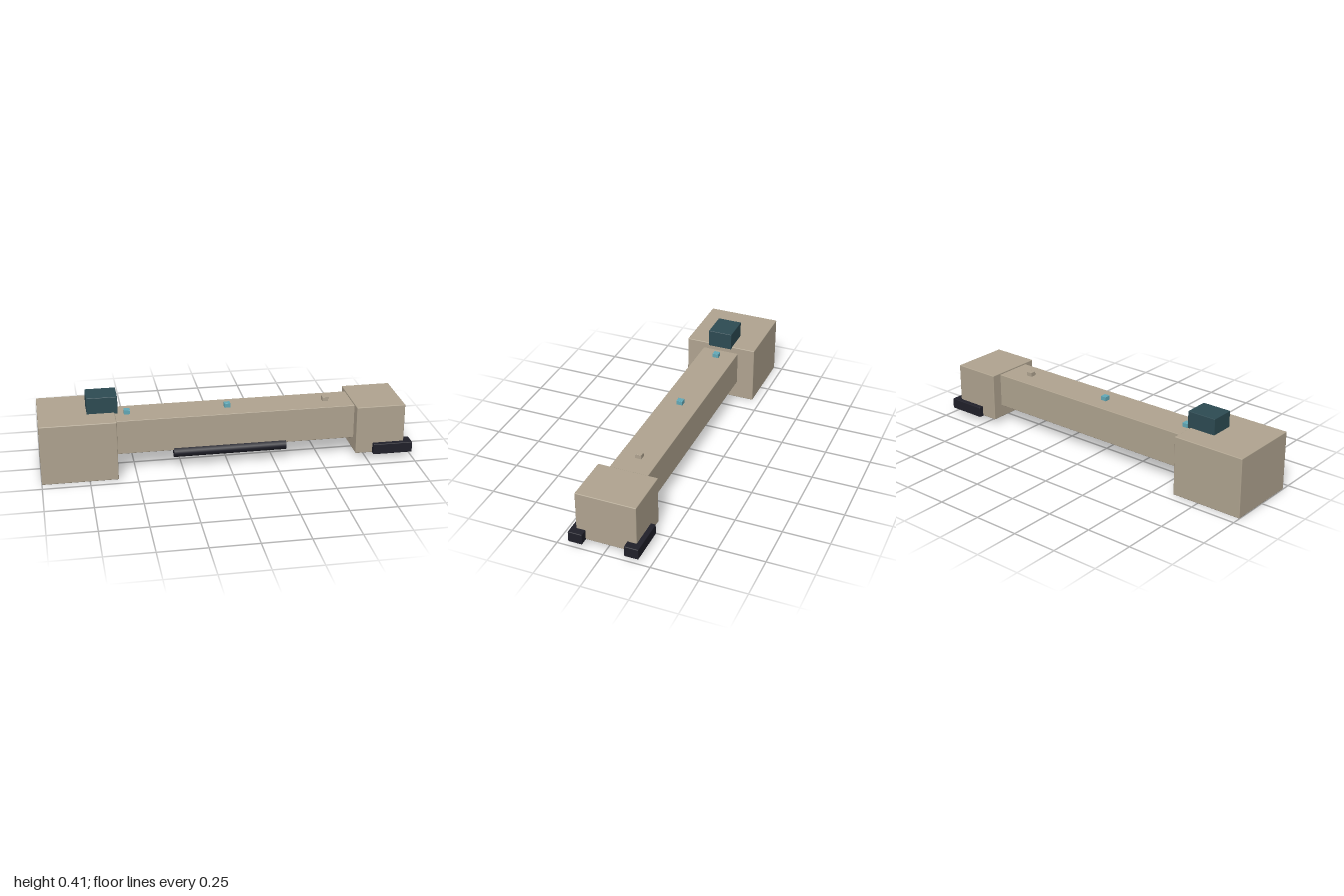
import * as THREE from 'three';
import { RoundedBoxGeometry } from 'three/addons/geometries/RoundedBoxGeometry.js';

function material(name, color) {
  const m = new THREE.MeshStandardMaterial({ color });
  m.name = name;
  return m;
}

export function createModel() {
  const model = new THREE.Group();
  model.name = 'beamModule';
  const tan = material('warm tan', 0xb0a490);
  const teal = material('dark teal', 0x2d4b53);
  const black = material('blue black', 0x20202a);
  const cyan = material('light cyan', 0x62a9b8);

  // Softly bevelled box from its minimum and maximum corners
  function block(name, mat, min, max, bevel = 0.003) {
    const size = max.map((v, i) => v - min[i]);
    const mesh = new THREE.Mesh(new RoundedBoxGeometry(...size, 2, bevel), mat);
    mesh.position.set(...min.map((v, i) => (v + max[i]) / 2));
    mesh.name = name;
    model.add(mesh);
    return mesh;
  }

  // Main body: large end block, long beam, small end block
  block('largeEndBlock', tan, [-1, 0, -0.202], [-0.6, 0.325, 0.202], 0.004);
  block('beam', tan, [-0.61, 0.1, -0.104], [0.7, 0.288, 0.104]);
  block('smallEndBlock', tan, [0.69, 0.03, -0.162], [0.957, 0.297, 0.162], 0.004);

  // Raised housing on the large block
  block('topHousing', teal, [-0.745, 0.318, -0.068], [-0.583, 0.413, 0.068]);

  // Two feet reaching past the small block
  for (const side of [-1, 1]) {
    const foot = block('foot', black, [0.783, 0.027, 0.112], [1, 0.086, 0.188], 0.004);
    foot.position.z *= side;
    foot.name = side > 0 ? 'frontFoot' : 'backFoot';
  }

  // Three small buttons along the beam
  [[-0.53, cyan], [0.01, cyan], [0.55, tan]].forEach(([x, mat], i) => {
    block('button' + (i + 1), mat, [x - 0.016, 0.28, -0.017], [x + 0.016, 0.311, 0.017], 0.001);
  });

  // Round bar under the front lower edge of the beam
  const bar = new THREE.Mesh(new THREE.CylinderGeometry(0.027, 0.027, 0.61, 12), black);
  bar.rotation.z = Math.PI / 2;
  bar.position.set(0.01, 0.086, 0.097);
  bar.name = 'lowerBar';
  model.add(bar);

  return model;
}
